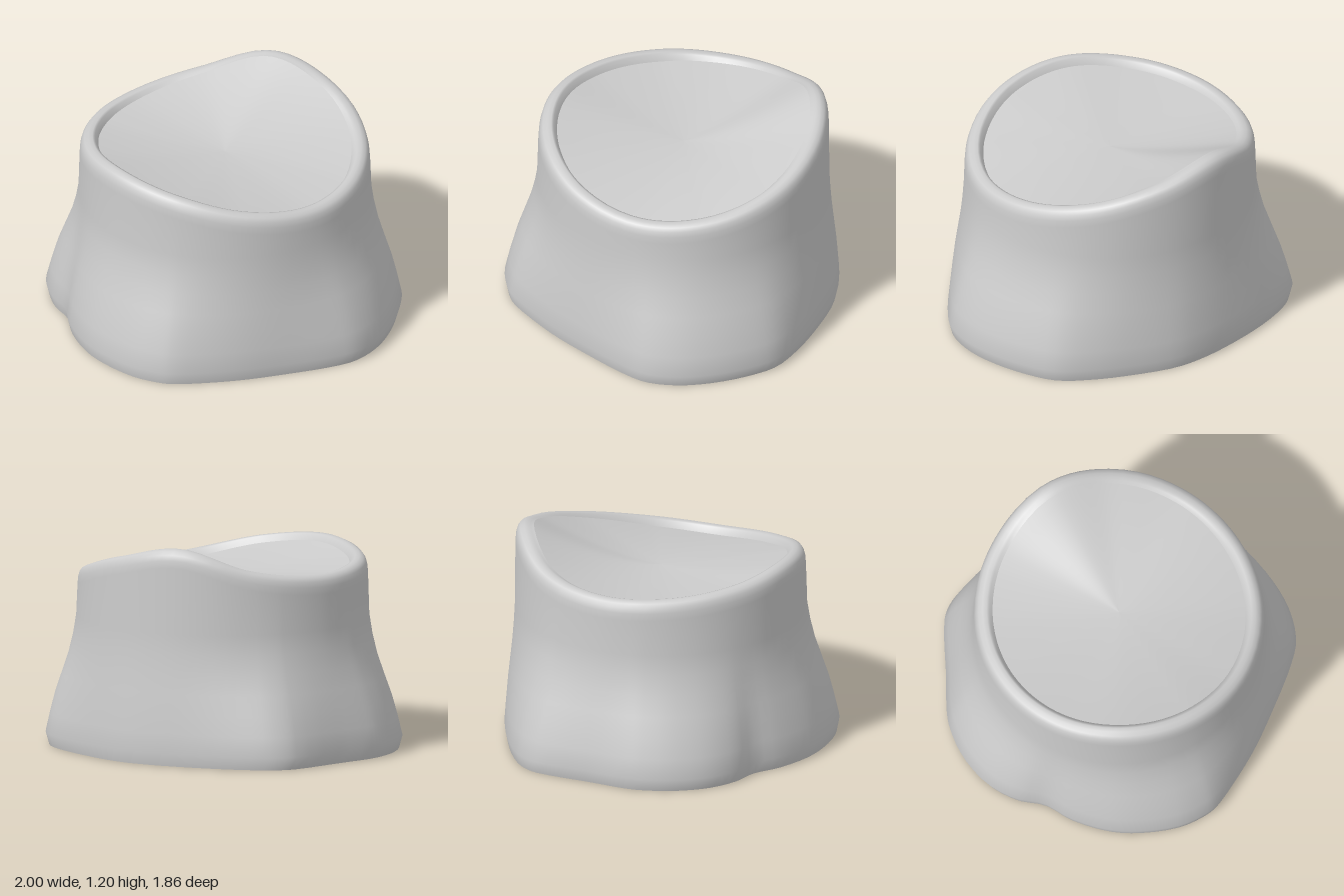
import * as THREE from 'three';

const N = 96, CX = 0.01, CZ = -0.06;

// flared root outline, [x, z], walked from +x towards +z
const outline = [
  [1, -0.05], [0.99, 0.14], [0.93, 0.31], [0.83, 0.42], [0.6, 0.6], [0.4, 0.74], [0.2, 0.85], [0.05, 0.915],
  [-0.03, 0.925], [-0.18, 0.91], [-0.38, 0.83], [-0.53, 0.73], [-0.68, 0.56], [-0.76, 0.41], [-0.88, 0.3],
  [-0.97, 0.14], [-1, -0.06], [-0.98, -0.22], [-0.95, -0.31], [-0.83, -0.52], [-0.67, -0.8], [-0.6, -0.86],
  [-0.5, -0.9], [-0.28, -0.93], [0, -0.925], [0.2, -0.9], [0.37, -0.85], [0.6, -0.71], [0.78, -0.57],
  [0.91, -0.43], [0.97, -0.26],
];
// rim height every 30 degrees, from +x towards +z
const rimHeights = [0.955, 0.93, 0.98, 1.06, 1.1, 1.07, 1.04, 1.03, 1.08, 1.2, 1.13, 1.03];
const CENTRE = 0.96; // height of the middle of the hollow

function rimHeight(angle) {
  const n = rimHeights.length;
  const u = ((angle / (2 * Math.PI)) * n + n) % n;
  const i = Math.floor(u), t = u - i;
  const [a, b, c, d] = [-1, 0, 1, 2].map((k) => rimHeights[(i + k + n) % n]);
  return b + 0.5 * t * (c - a + t * (2 * a - 5 * b + 4 * c - d + t * (3 * (b - c) + d - a)));
}

// joins closed rings of N points into one smooth skin
function skin(rings, name) {
  const index = [];
  for (let r = 0; r < rings.length - 1; r++) {
    for (let i = 0; i < N; i++) {
      const a = r * N + i, b = r * N + ((i + 1) % N);
      index.push(a, a + N, b, b, a + N, b + N);
    }
  }
  const geo = new THREE.BufferGeometry();
  geo.setAttribute('position', new THREE.Float32BufferAttribute(rings.flat(2), 3));
  geo.setIndex(index);
  geo.computeVertexNormals();
  const mesh = new THREE.Mesh(geo, new THREE.MeshStandardMaterial({ color: 0xcccccc, side: THREE.DoubleSide }));
  mesh.name = name;
  return mesh;
}

export function createModel() {
  const group = new THREE.Group();
  group.name = 'stump';

  // one spoke per column: root point, direction, rim height and the step inside the rim, which fades at the back
  const curve = new THREE.CatmullRomCurve3(outline.map(([x, z]) => new THREE.Vector3(x, 0, z)), true);
  const spokes = Array.from({ length: N }, (_, i) => {
    const p = curve.getPoint(i / N);
    const angle = Math.atan2(p.z - CZ, p.x - CX);
    const c = Math.cos(angle), s = Math.sin(angle);
    return { p, c, s, h: rimHeight(angle), step: 0.006 + 0.034 * Math.min(1, 1 + s) };
  });
  const circle = (r, yOf) => spokes.map((k) => [CX + r * k.c, yOf(k), CZ + r * k.s]);

  // trunk: [height, share of the root outline]; the rest is the round trunk
  const trunk = [[0.07, 1], [0.18, 0.86], [0.29, 0.7], [0.4, 0.49], [0.51, 0.28], [0.62, 0.13], [0.73, 0.03]]
    .map(([y, w]) => spokes.map((k) => [
      THREE.MathUtils.lerp(CX + 0.805 * k.c, k.p.x, w), y, THREE.MathUtils.lerp(CZ + 0.805 * k.s, k.p.z, w),
    ]));
  const foot = spokes.map((k) => [k.p.x * 0.98, 0, k.p.z * 0.985]);

  // lip with a rounded outer edge: [radius, drop below the rim]
  const lip = [[0.803, 0.1], [0.8, 0.06], [0.792, 0.03], [0.778, 0.01], [0.755, 0], [0.732, 0], [0.718, 0.004]]
    .map(([r, d]) => circle(r, (k) => k.h - d));
  const lipInside = circle(0.7, (k) => k.h - k.step);
  group.add(skin([foot, ...trunk, ...lip, lipInside], 'trunk'));

  // shallow hollow that rises to meet the wavy rim
  const hollow = [];
  for (let i = 0; i <= 12; i++) {
    const s = 1 - i / 12;
    hollow.push(circle(0.7 * s, (k) => CENTRE + (k.h - k.step - CENTRE) * Math.pow(s, 1.6)));
  }
  group.add(skin(hollow, 'topSurface'));
  return group;
}
